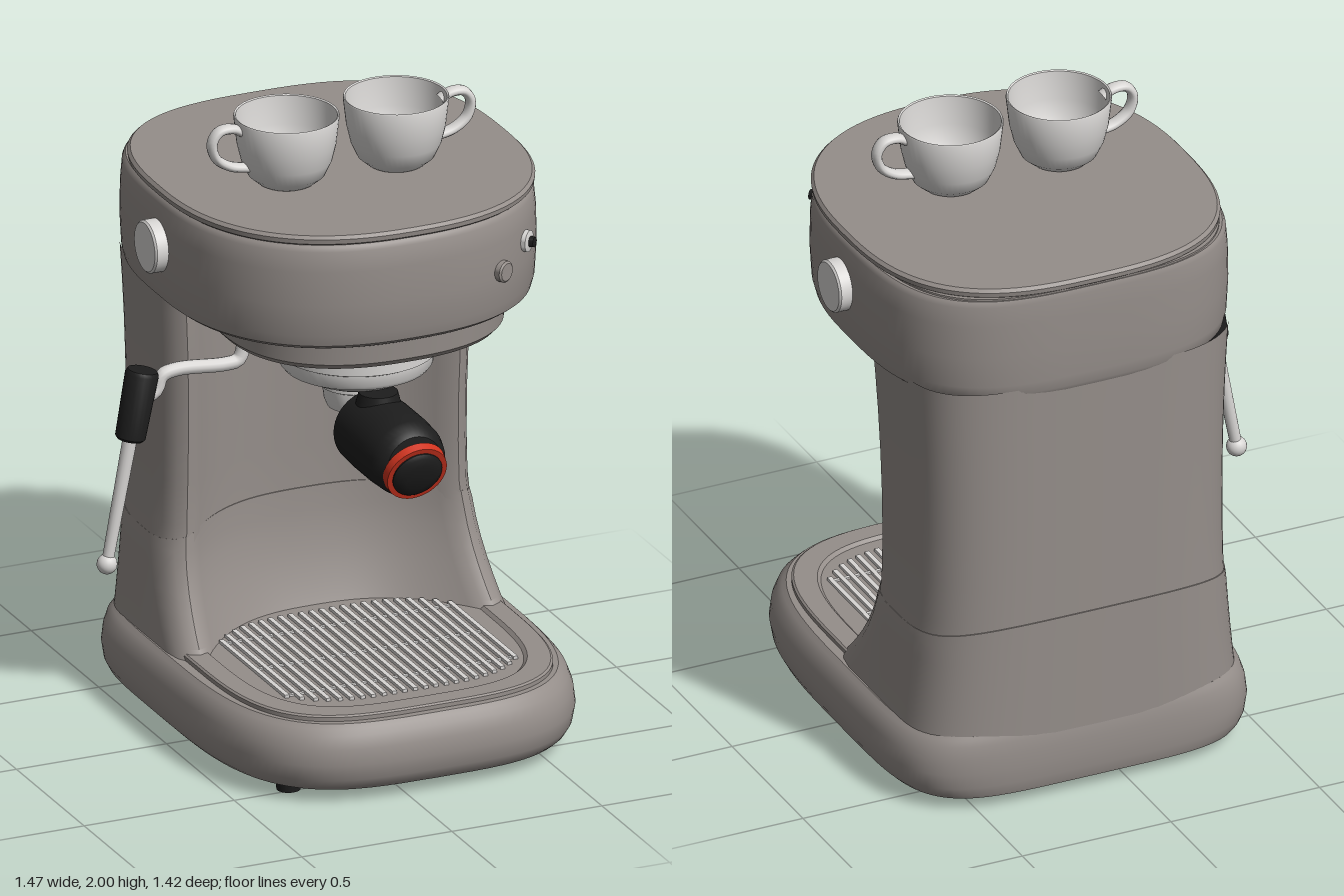
import * as THREE from 'three';
import { toCreasedNormals } from 'three/addons/utils/BufferGeometryUtils.js';

const mat = (name, color) => {
  const m = new THREE.MeshStandardMaterial({ color });
  m.name = name;
  return m;
};
const V = (x, y, z) => new THREE.Vector3(x, y, z);
const CX = 0.105; // centre line of the machine body

// Skin stacked rings of points, optionally closing both ends
function loft(rings, caps = true) {
  const n = rings[0].length, pos = [], idx = [];
  rings.forEach(r => r.forEach(p => pos.push(p.x, p.y, p.z)));
  for (let i = 0; i < rings.length - 1; i++) {
    for (let j = 0; j < n; j++) {
      const k = (j + 1) % n;
      const a = i * n + j, b = i * n + k, c = b + n, d = a + n;
      idx.push(a, d, b, b, d, c);
    }
  }
  if (caps) {
    [0, rings.length - 1].forEach((r, end) => {
      const mid = pos.length / 3;
      pos.push(CX, rings[r][0].y, -0.1);
      for (let j = 0; j < n; j++) {
        const a = r * n + j, b = r * n + (j + 1) % n;
        idx.push(mid, end ? b : a, end ? a : b);
      }
    });
  }
  const g = new THREE.BufferGeometry();
  g.setAttribute('position', new THREE.Float32BufferAttribute(pos, 3));
  g.setIndex(idx);
  return toCreasedNormals(g, 0.6);
}

const spow = (v, e) => Math.sign(v) * Math.abs(v) ** e;

// Rounded-square outline whose front and back corners differ in sharpness
function outline(y, hx, zBack, zFront, nBack, nFront, cz = -0.1) {
  const pts = [];
  for (let i = 0; i < 96; i++) {
    const t = i / 96 * Math.PI * 2, c = Math.cos(t), s = Math.sin(t);
    const e = 2 / (s > 0 ? nFront : nBack);
    pts.push(V(CX + hx * spow(c, e), y, cz + spow(s, e) * (s > 0 ? zFront - cz : cz - zBack)));
  }
  return pts;
}

// Column section: rounded back, two forward arms, hollow front
function columnRing(y, grow = 0, wavy = false) {
  const flare = Math.max(0, (0.62 - y) / 0.37);
  const w = 0.515 + 0.02 * ((y - 0.85) / 0.55) ** 2 + 0.012 * flare + grow;
  const f = -0.185 + 0.025 * Math.max(0, (y - 0.8) / 0.6) + 0.19 * flare ** 2 + grow;
  const d = -0.34 + 0.08 * flare ** 2 + grow;
  const pts = [];
  for (let i = 0; i <= 40; i++) {
    const t = Math.PI * (1 + i / 40);
    pts.push([w * spow(Math.cos(t), 0.54), -0.32 - (0.38 + grow) * Math.abs(Math.sin(t)) ** 0.54]);
  }
  const tip = [[w, f - 0.12], [w - 0.01, f - 0.06], [w - 0.035, f - 0.016], [w - 0.065, f]];
  const xi = w - 0.095;
  tip.forEach(p => pts.push(p));
  for (let i = 0; i <= 28; i++) {
    const u = 1 - i / 14;
    pts.push([u * xi, d + (f - 0.01 - d) * Math.abs(u) ** 2.6]);
  }
  tip.reverse().forEach(([x, z]) => pts.push([-x, z]));
  return pts.map(([x, z]) => V(CX + x, y - (wavy ? 0.05 * Math.abs(x / w) ** 4 : 0), z));
}

export function createModel() {
  const root = new THREE.Group();
  root.name = 'espressoMachine';
  const body = mat('warm grey', 0x958e8a);
  const metal = mat('light metal', 0xd8d6d4);
  const black = mat('black', 0x1d1d1d);
  const red = mat('red', 0xd0341f);

  const add = (name, geo, material, p = [0, 0, 0], parent = root) => {
    const m = new THREE.Mesh(geo, material);
    m.name = name;
    m.position.set(...p);
    parent.add(m);
    return m;
  };
  const cyl = (rt, rb, h, n = 40) => new THREE.CylinderGeometry(rt, rb, h, n);
  const lathe = (pts, n = 40) =>
    toCreasedNormals(new THREE.LatheGeometry(pts.map(p => new THREE.Vector2(...p)), n), 0.6);
  const tube = (pts, r, n = 32) =>
    new THREE.TubeGeometry(new THREE.CatmullRomCurve3(pts.map(p => V(...p)), false, 'centripetal'), n, r, 12);

  // Base with bulging edge
  add('base', loft([[0.04, 0.035], [0.053, 0.022], [0.08, 0.008], [0.13, 0], [0.18, 0.006],
    [0.22, 0.02], [0.238, 0.035], [0.25, 0.047]]
    .map(([y, i]) => outline(y, 0.607 - i, -0.71 + i * 0.3, 0.71 - i, 4.8, 3.4))), body);

  // Tray plate with a raised rim and a slatted grate
  const trayShape = [[0.24, 0], [0.263, 0], [0.268, 0.006], [0.268, 0.07], [0.258, 0.08]];
  add('dripTray', loft(trayShape
    .map(([y, i]) => outline(y, 0.53 - i, -0.6 + i, 0.64 - i, 5, 3.5, 0))), body);
  for (let i = 0; i < 23; i++) {
    const u = (i - 11) / 11, len = 0.7 * (1 - Math.abs(u) ** 4 * 0.3);
    add('grateBar', new THREE.BoxGeometry(0.015, 0.01, len), metal, [CX + u * 0.38, 0.264, 0.15]);
  }
  for (const z of [-0.08, 0.15, 0.38])
    add('grateCrossBar', new THREE.BoxGeometry(0.76, 0.006, 0.012), metal, [CX, 0.261, z]);

  // Feet
  for (const x of [-0.31, 0.51]) for (const z of [-0.545, 0.48])
    add('foot', cyl(0.04, 0.037, 0.05, 20), black, [x, 0.025, z]);

  // Column in two panels with a seam between
  const lower = [0.2, 0.25, 0.28, 0.32, 0.37, 0.42, 0.48, 0.54].map(y => columnRing(y, 0.004));
  lower.push(columnRing(0.615, 0.004, true), columnRing(0.615, -0.004, true));
  add('columnLower', loft(lower, false), body);
  add('columnUpper', loft([0.54, 0.62, 0.75, 0.9, 1.05, 1.2, 1.32, 1.43].map(y => columnRing(y)), false), body);

  // Head, lid and lower tier
  const headRing = ([y, i]) => outline(y, 0.585 - i, -0.71 + i * 0.3, 0.51 - i, 3.3, 2.4);
  add('head', loft([[1.4, 0.035], [1.403, 0.03], [1.415, 0.015], [1.45, 0.006], [1.55, 0],
    [1.66, 0.002], [1.725, 0.008], [1.738, 0.014], [1.744, 0.02]].map(headRing)), body);
  add('lidGap', loft([[1.74, 0.03], [1.75, 0.03]].map(headRing)), body);
  add('lid', loft([[1.748, 0.012], [1.753, 0.006], [1.768, 0.004], [1.778, 0.013]]
    .map(([y, i]) => outline(y, 0.585 - i, -0.712 + i, 0.51 - i, 2.8, 2.4))), body);
  add('headUnderside', loft([[1.317, 0.02], [1.335, 0.004], [1.41, 0]]
    .map(([y, i]) => outline(y, 0.445 - i, -0.36 + i, 0.465 - i, 3, 2.4, 0.05))), body);

  // Brew group and filter basket
  add('brewGroup', lathe([[0, 1.125], [0.125, 1.125], [0.13, 1.135], [0.13, 1.145], [0.17, 1.145], [0.175, 1.15],
    [0.175, 1.172], [0.225, 1.172], [0.235, 1.185], [0.238, 1.22], [0.248, 1.225], [0.248, 1.33]]), metal, [CX, 0, 0.06]);
  add('filterBasket', lathe([[0, 1.01], [0.045, 1.01], [0.05, 1.03], [0.085, 1.035], [0.095, 1.06],
    [0.1, 1.1], [0.11, 1.105], [0.11, 1.13]]), metal, [CX, 0, 0.05]);

  // Portafilter handle
  add('handleNeck', cyl(0.04, 0.045, 0.12).rotateX(Math.PI / 2), metal, [CX, 1.07, 0.14]);
  add('handle', lathe([[0, 0.16], [0.112, 0.16], [0.12, 0.17], [0.124, 0.24], [0.124, 0.38],
    [0.12, 0.45], [0.108, 0.49], [0.09, 0.505], [0, 0.51]]).rotateX(Math.PI / 2), black, [CX - 0.005, 1.003, 0]);
  add('handleCollar', cyl(0.06, 0.085, 0.1), black, [CX - 0.005, 1.093, 0.235]);
  const cap = new THREE.Group();
  cap.name = 'handleCap';
  cap.position.set(CX - 0.005, 0.984, 0.505);
  cap.rotation.x = 0.35;
  root.add(cap);
  add('redRing', cyl(0.098, 0.102, 0.026).rotateX(Math.PI / 2), red, [0, 0, 0.005], cap);
  add('capEnd', lathe([[0.081, 0], [0.081, 0.022], [0.07, 0.032], [0.045, 0.038], [0, 0.04]])
    .rotateX(Math.PI / 2), black, [0, 0, 0], cap);

  // Steam wand
  add('steamPipe', tube([[-0.25, 1.34, 0.01], [-0.25, 1.26, 0.01], [-0.265, 1.225, 0.01], [-0.31, 1.218, 0.01],
    [-0.47, 1.228, 0.01], [-0.52, 1.215, 0.01], [-0.54, 1.17, 0.01], [-0.58, 1.15, 0.01]], 0.022), metal);
  const from = V(-0.585, 1.245, 0.012), to = V(-0.705, 0.63, 0.015);
  const axis = to.clone().sub(from).normalize();
  const down = new THREE.Quaternion().setFromUnitVectors(V(0, -1, 0), axis);
  const onWand = (name, geo, material, dist) =>
    add(name, geo, material, from.clone().addScaledVector(axis, dist).toArray()).quaternion.copy(down);
  onWand('wandGrip', lathe([[0, -0.112], [0.04, -0.112], [0.047, -0.104], [0.052, 0.1], [0.046, 0.112], [0, 0.112]], 24),
    black, 0.112);
  onWand('wandRod', cyl(0.023, 0.018, 0.42, 16), metal, 0.41);
  add('wandTip', new THREE.SphereGeometry(0.032, 20, 14), metal, to.toArray());

  // Side knobs
  for (const s of [-1, 1])
    add('sideKnob', lathe([[0, -0.04], [0.083, -0.04], [0.083, 0.018], [0.077, 0.024], [0, 0.024]])
      .rotateZ(-s * Math.PI / 2), metal, [CX + s * 0.602, 1.59, -0.115]);

  // Front button and switch
  const stud = (name, x, y, z, yaw, pts, material) =>
    add(name, lathe(pts, 24).rotateX(Math.PI / 2), material, [x, y, z]).rotation.set(0, yaw, 0);
  stud('button', 0.415, 1.565, 0.45, 0.5, [[0, -0.06], [0.034, -0.06], [0.034, 0.015], [0.028, 0.02], [0, 0.02]], body);
  stud('switchRing', 0.53, 1.615, 0.37, 0.75, [[0, -0.06], [0.034, -0.06], [0.034, 0.012], [0.022, 0.016], [0, 0.016]], metal);
  stud('switchTip', 0.53, 1.615, 0.37, 0.75, [[0, 0], [0.018, 0.01], [0.016, 0.03], [0, 0.034]], black);

  // Cups with handles facing outwards
  for (const [x, turn] of [[-0.1, Math.PI], [0.265, 0]]) {
    const cup = new THREE.Group();
    cup.name = 'cup';
    cup.position.set(x, 1.777, 0);
    cup.rotation.y = turn;
    root.add(cup);
    add('cupBowl', lathe([[0, 0.003], [0.075, 0.003], [0.08, 0], [0.09, 0.006], [0.118, 0.03], [0.139, 0.075],
      [0.152, 0.13], [0.162, 0.218], [0.16, 0.223], [0.155, 0.22], [0.144, 0.13], [0.13, 0.08],
      [0.105, 0.04], [0.08, 0.02], [0, 0.018]], 48), metal, [0, 0, 0], cup);
    add('cupHandle', tube([[0.145, 0.185, 0], [0.18, 0.203, 0], [0.225, 0.2, 0], [0.248, 0.165, 0],
      [0.235, 0.115, 0], [0.19, 0.082, 0], [0.13, 0.068, 0]], 0.015).scale(1, 1, 1.6), metal, [0, 0, 0], cup);
  }
  return root;
}
